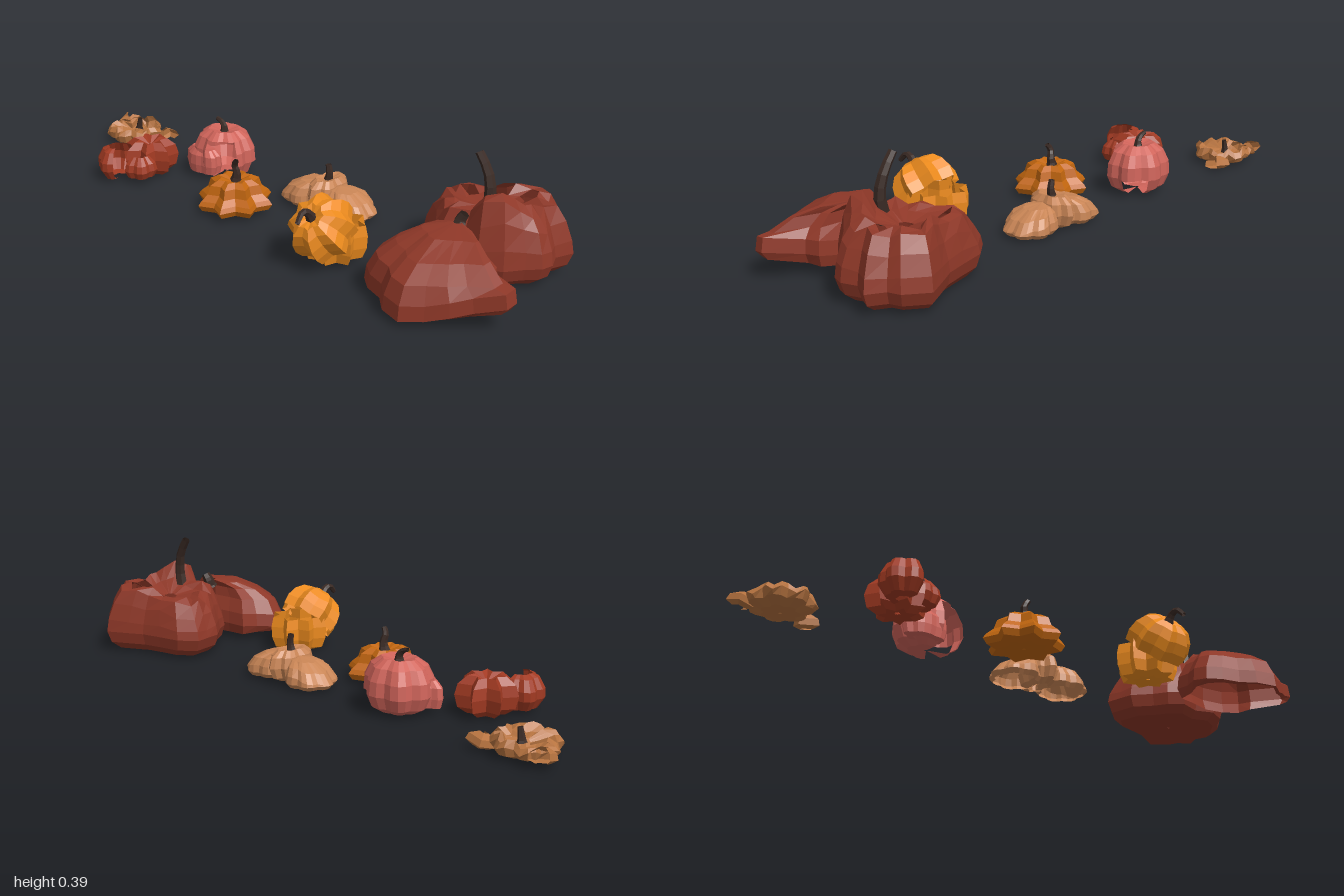
import * as THREE from 'three';

const STEM = 0x3a2a24;
const mat = (color) => new THREE.MeshStandardMaterial({ color, flatShading: true, side: THREE.DoubleSide });

// Skin lofted from one outline: rows are [scale, y, dx, dz]; skip(row, t) leaves holes; warp(v, row) bends it
function shell(name, color, outline, rows, { skip = () => false, warp = () => {} } = {}) {
  const n = outline.length, pos = [], idx = [];
  rows.forEach(([s, y, dx = 0, dz = 0], r) => {
    for (const [x, z] of outline) {
      const v = new THREE.Vector3(x * s + dx, y, z * s + dz);
      warp(v, r);
      pos.push(v.x, v.y, v.z);
    }
  });
  for (let r = 0; r < rows.length - 1; r++) {
    for (let i = 0; i < n; i++) {
      if (skip(r, (i + 0.5) / n)) continue;
      const a = r * n + i, b = r * n + (i + 1) % n, c = a + n, d = b + n;
      idx.push(a, c, b, b, c, d);
    }
  }
  const g = new THREE.BufferGeometry();
  g.setAttribute('position', new THREE.Float32BufferAttribute(pos, 3));
  g.setIndex(idx);
  g.computeVertexNormals();
  const m = new THREE.Mesh(g, mat(color));
  m.name = name;
  return m;
}

// Outline with pointed ribs
const star = (n, r, depth) => Array.from({ length: n * 2 }, (_, i) => {
  const a = i / n * Math.PI, f = r * (i % 2 ? 1 - depth : 1);
  return [Math.cos(a) * f, Math.sin(a) * f];
});

// Outline with rounded ribs
const ribbed = (n, r, depth, sx = 1, sz = 1) => Array.from({ length: n * 4 }, (_, i) => {
  const a = i / (n * 2) * Math.PI, f = r * (1 - depth + depth * Math.abs(Math.sin(i / 4 * Math.PI)));
  return [Math.cos(a) * f * sx, Math.sin(a) * f * sz];
});

// Bent, tapering stem
function stem(points, r0, r1) {
  const curve = new THREE.CatmullRomCurve3(points.map((p) => new THREE.Vector3(...p)));
  const steps = 6, sides = 6;
  const g = new THREE.TubeGeometry(curve, steps, r0, sides);
  const p = g.attributes.position, v = new THREE.Vector3();
  for (let i = 0; i < p.count; i++) {
    const t = Math.floor(i / (sides + 1)) / steps, c = curve.getPointAt(t);
    v.fromBufferAttribute(p, i).sub(c).multiplyScalar(1 + (r1 / r0 - 1) * Math.sqrt(t)).add(c);
    p.setXYZ(i, v.x, v.y, v.z);
  }
  const m = new THREE.Mesh(g, mat(STEM));
  m.name = 'stem';
  return m;
}

function put(parent, child, x, y, z, rx = 0, ry = 0, rz = 0) {
  child.position.set(x, y, z);
  child.rotation.set(rx, ry, rz);
  parent.add(child);
}

function cluster(parent, name) {
  const g = new THREE.Group();
  g.name = name;
  parent.add(g);
  return g;
}

export function createModel() {
  const model = new THREE.Group();
  model.name = 'smashedPumpkins';

  // Large pumpkin, split into a standing back half and a fallen front half
  const big = cluster(model, 'largePumpkin'), red = 0x8f3828;
  const backOutline = [[.925, -.13], [.915, -.09], [.88, -.055], [.84, .0], [.77, .035], [.7, .01], [.62, .035], [.57, .0], [.54, -.045],
    [.485, -.1], [.475, -.15], [.465, -.2], [.52, -.25], [.6, -.27], [.67, -.29], [.72, -.32], [.79, -.36], [.86, -.31],
    [.875, -.27], [.93, -.24], [.905, -.18]].map(([x, z]) => [x - .7, z + .14]);
  put(big, shell('backHalf', red, backOutline,
    [[.02, .02], [.5, .015], [.8, .02], [.94, .045], [1, .085], [.97, .125], [.88, .18], [.76, .225], [.6, .235], [.42, .215], [.1, .195]], {
      skip: (r, t) => r === 8 && t > .5 && t < .95 && t * 21 % 3 > 1,
      warp: (v, r) => {
        if (r < 5) return;
        const k = Math.min(1, (r - 4) / 3);
        v.y += k * .075 * Math.exp(-((v.x - .1) ** 2 + (v.z - .12) ** 2) / .006);
        v.y -= k * .03 * Math.max(0, -v.x / .2);
        if (r < 9) v.y += k * .012 * Math.sin(v.x * 60 + v.z * 45);
      },
    }), .7, 0, -.14);
  const frontOutline = [[.985, .16], [.98, .2], [.9, .24], [.85, .28], [.79, .315], [.73, .355], [.66, .335], [.62, .295], [.56, .275],
    [.52, .24], [.51, .19], [.54, .13], [.55, .07], [.62, .06], [.7, .04], [.78, .055], [.86, .06], [.875, .105]]
    .map(([x, z]) => [x - .71, z - .18]);
  put(big, shell('frontHalf', red, frontOutline,
    [[.93, .035], [1, .055], [.97, .1], [.83, .15], [.62, .185, 0, -.025], [.38, .215, 0, -.07], [.06, .225, 0, -.12]], {
      warp: (v, r) => {
        if (r > 0 && r < 5) v.y -= v.z * .13;
        if (r < 3) v.y += Math.max(0, v.x - .08) * .25;
      },
    }), .71, 0, .18);
  put(big, stem([[0, 0, 0], [.015, .08, 0], [0, .15, -.005], [-.035, .205, -.005]], .026, .013), .72, .19, -.07);
  put(big, stem([[0, 0, 0], [0, .025, -.01], [.01, .045, -.015]], .028, .015), .71, .2, .05);

  // Yellow-orange pumpkin: a spiky bowl with its top half tipped forward
  const tipped = cluster(model, 'tippedPumpkin'), yellow = 0xee8c1e;
  put(tipped, shell('topHalf', yellow, star(8, .11, .2),
    [[.96, -.015], [1, .02], [.92, .055], [.72, .085], [.42, .1], [.08, .09]]), .335, .125, .2, Math.PI / 4, Math.PI / 8, 0);
  put(tipped, shell('bottomHalf', yellow, star(8, .105, .28),
    [[.06, .025], [.5, .018], [.85, .03], [.98, .065], [1, .105], [.93, .14]]), .335, 0, .155, 0, Math.PI / 8, 0);
  put(tipped, stem([[0, 0, 0], [0, .025, .02], [0, .03, .042], [.005, .005, .068]], .018, .008), .335, .19, .265);

  // Pale pumpkin burst open to both sides
  const pale = cluster(model, 'burstPumpkin'), tan = 0xc98555;
  put(pale, shell('core', tan, ribbed(6, 1, .2, .055, .095),
    [[.5, .02], [.85, .035], [1, .07], [.9, .105], [.6, .125], [.03, .115]]), .083, 0, -.11);
  for (const s of [-1, 1]) {
    put(pale, shell('wing', tan, ribbed(7, .092, .14, 1, .95),
      [[.85, .02], [1, .035], [.97, .06], [.8, .085, -s * .01], [.5, .1, -s * .03], [.02, .105, -s * .05]], {
        warp: (v) => { v.y -= Math.max(0, s * v.x) * .25 * (v.y > .04); },
      }), .085 + s * .095, 0, -.11);
  }
  put(pale, stem([[0, 0, 0], [.005, .025, 0], [0, .055, 0]], .016, .01), .083, .115, -.11);

  // Pointed orange pumpkin, sagging onto a broad base
  const pointed = cluster(model, 'pointedPumpkin'), orange = 0xc2660f;
  put(pointed, shell('body', orange, star(8, .132, .25),
    [[.05, .025], [.6, .02], [.9, .03], [1, .05], [.92, .065], [.74, .085], [.66, .115], [.45, .13], [.08, .115]]), -.137, 0, .11, 0, Math.PI / 8, 0);
  put(pointed, stem([[0, 0, 0], [.005, .03, 0], [0, .055, .005], [.012, .075, .01]], .02, .009), -.137, .118, .105);

  // Pink pumpkin, right side hollowed out under an arch
  const pinkish = cluster(model, 'pinkPumpkin'), pink = 0xd0645a;
  put(pinkish, shell('body', pink, ribbed(7, .118, .14, 1, .9),
    [[.05, .025], [.55, .02], [.85, .04], [1, .08], [.97, .125], [.8, .165], [.5, .188], [.08, .175]], {
      skip: (r, t) => (r < 5 && t > .06 && t < .24) || (r < 3 && t > .83 && t < .95),
    }), -.375, 0, -.08);
  put(pinkish, shell('brokenFront', pink, ribbed(5, .072, .15, 1.1, .6),
    [[.5, .03], [.9, .035], [1, .065], [.95, .1], [.65, .12], [.08, .115]]), -.42, 0, -.02);
  put(pinkish, stem([[0, 0, 0], [0, .02, 0], [-.012, .036, 0], [-.035, .045, 0]], .018, .007), -.375, .172, -.08);

  // Red pumpkin, broken into a spiky half and curved shards
  const spiky = cluster(model, 'redPumpkin'), crimson = 0xa23a22;
  put(spiky, shell('spikyHalf', crimson, star(7, .1, .38),
    [[.1, .03], [.6, .02], [.9, .04], [1, .08], [.9, .115], [.6, .14], [.08, .12]]), -.58, 0, .09);
  put(spiky, shell('shard', crimson, ribbed(6, .075, .18),
    [[.3, .02], [.7, .025], [1, .06], [1, .09], [.75, .125], [.45, .135]], {
      skip: (r, t) => t > .76 || t < .15,
    }), -.625, 0, .2);
  put(spiky, shell('smallShard', crimson, ribbed(5, .06, .2),
    [[.3, .03], [.8, .035], [1, .06], [.9, .085], [.5, .11]], { skip: (r, t) => t > .3 && t < .8 }), -.55, 0, .165);

  // Brown pumpkin, collapsed flat with loose chunks
  const flat = cluster(model, 'collapsedPumpkin'), brown = 0xb87440;
  put(flat, shell('bowl', brown, ribbed(7, .108, .2),
    [[.05, .015], [.55, .015], [.9, .03], [1, .05], [.88, .07], [.62, .066], [.1, .05]], {
      skip: (r, t) => r > 3 && t > .5 && t < .98,
      warp: (v, r) => { if (r > 2) v.y += .01 * Math.sin(v.x * 90 + v.z * 50); },
    }), -.865, 0, -.085);
  [[-.75, .02, -.15, .6], [-.965, .03, -.145, 2.6]].forEach(([x, y, z, turn]) => {
    put(flat, shell('chunk', brown, star(4, .045, .3),
      [[.5, 0], [1, .01], [.9, .03], [.3, .045]], { skip: (r, t) => t < .25 }), x, y, z, .15, turn, .2);
  });
  put(flat, stem([[0, 0, 0], [.003, .02, 0], [.008, .045, 0]], .016, .008), -.86, .05, -.1);

  return model;
}
